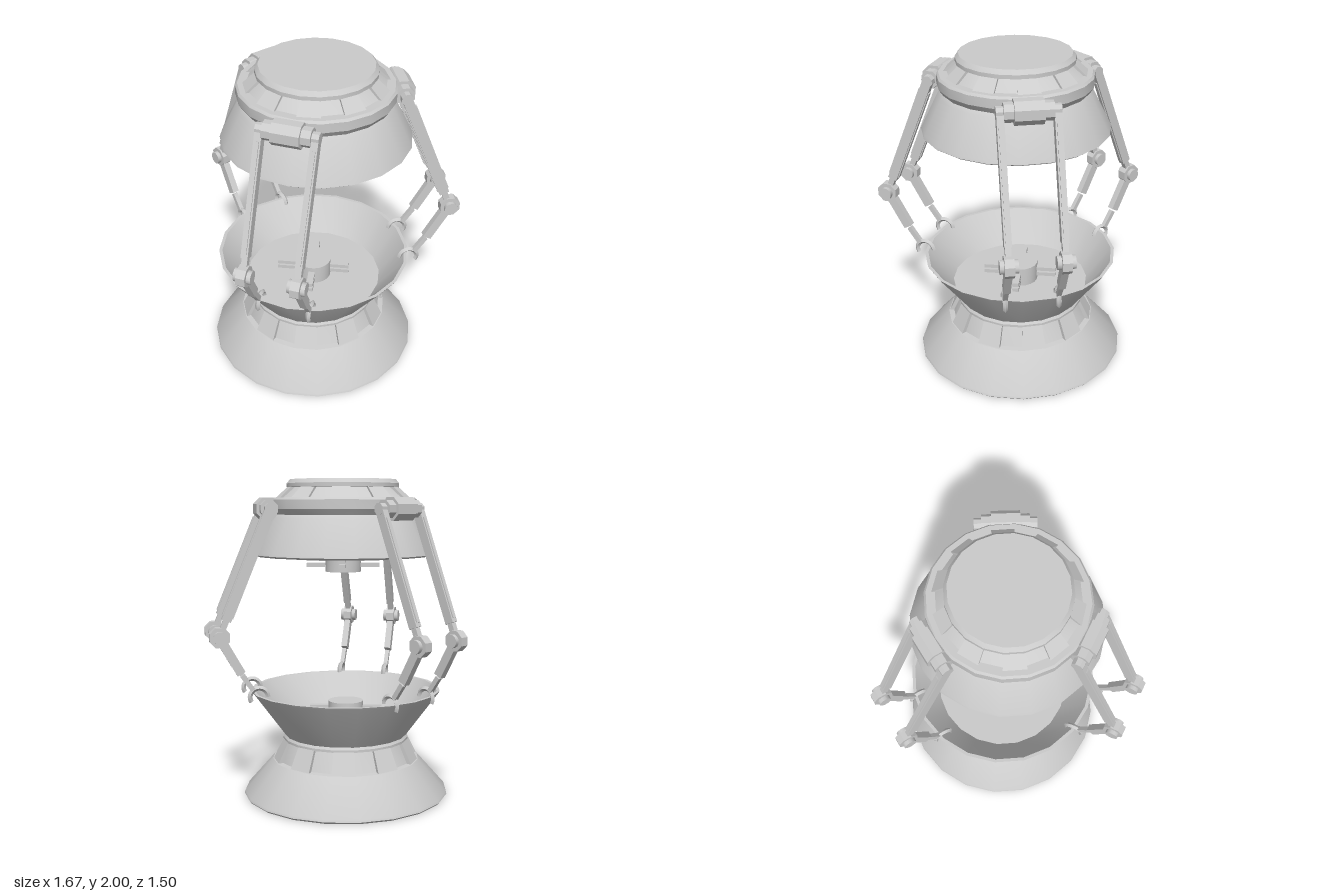
import * as THREE from 'three';
import { toCreasedNormals } from 'three/addons/utils/BufferGeometryUtils.js';

const SIDES = 20;
const grey = new THREE.MeshStandardMaterial({ color: 0xcccccc });

function add(parent, name, geometry, x = 0, y = 0, z = 0) {
  const mesh = new THREE.Mesh(geometry, grey);
  mesh.name = name;
  mesh.position.set(x, y, z);
  parent.add(mesh);
  return mesh;
}

// Turned body; profile is [radius, y] from bottom to top.
function turned(parent, name, profile) {
  const pts = profile.map(([r, y]) => new THREE.Vector2(r, y));
  return add(parent, name, toCreasedNormals(new THREE.LatheGeometry(pts, SIDES), 0.5));
}

// Raised panels on every second facet of a cone; the others read as recessed windows.
function panelRing(parent, name, r0, y0, r1, y1, depth) {
  const ring = new THREE.Group();
  ring.name = name;
  const half = Math.PI / SIDES;
  for (let i = 0; i < SIDES / 2; i++) {
    const g = new THREE.BoxGeometry(1, 1, 1);
    const p = g.attributes.position;
    const mid = half * 3 + i * half * 4;
    for (let k = 0; k < p.count; k++) {
      const top = p.getY(k) > 0;
      const r = (top ? r1 : r0) - (p.getZ(k) > 0 ? 0 : depth);
      const a = mid + p.getX(k) * 2 * half;
      p.setXYZ(k, r * Math.sin(a), top ? y1 : y0, r * Math.cos(a));
    }
    g.computeVertexNormals();
    add(ring, 'panel', g);
  }
  parent.add(ring);
}

// Round hub with four pairs of stacked bars.
function hub(parent, name, y) {
  const g = new THREE.Group();
  g.name = name;
  add(g, 'hubCore', toCreasedNormals(new THREE.CylinderGeometry(0.112, 0.112, 0.12, SIDES), 0.5));
  for (let i = 0; i < 4; i++) {
    const a = Math.PI / 4 + i * Math.PI / 2;
    for (const dy of [-0.018, 0.018]) {
      const bar = add(g, 'hubBar', new THREE.BoxGeometry(0.04, 0.024, 0.16),
        0.15 * Math.sin(a), dy, 0.15 * Math.cos(a));
      bar.rotation.y = a;
    }
  }
  g.position.y = y;
  parent.add(g);
}

// Box running between two [z, y] points, from fraction t0 to t1.
function bar(parent, name, a, b, t0, t1, width, depth, x = 0) {
  const dz = b[0] - a[0], dy = b[1] - a[1], t = (t0 + t1) / 2;
  const geo = new THREE.BoxGeometry(width, Math.hypot(dz, dy) * (t1 - t0), depth);
  const m = add(parent, name, geo, x, a[1] + dy * t, a[0] + dz * t);
  m.rotation.x = Math.atan2(dz, dy);
  return m;
}

// Prism lying along x.
function axle(parent, name, r, length, sides, [z, y]) {
  const g = new THREE.CylinderGeometry(r, r, length, sides).rotateY(Math.PI / sides).rotateZ(Math.PI / 2);
  return add(parent, name, toCreasedNormals(g, 0.6), 0, y, z);
}

const PIVOT = [0.487, 1.82], KNEE = [0.803, 1.056], WRIST = [0.665, 0.81], GRIP = [0.57, 0.68];

function makeArm() {
  const arm = new THREE.Group();
  arm.name = 'arm';
  axle(arm, 'shoulderEnd', 0.036, 0.044, 8, PIVOT);
  bar(arm, 'upperSleeve', PIVOT, KNEE, 0, 0.87, 0.042, 0.058);
  bar(arm, 'sleeveRib', PIVOT, KNEE, 0.08, 0.84, 0.024, 0.072);
  bar(arm, 'upperRod', PIVOT, KNEE, 0.85, 1, 0.034, 0.036);
  axle(arm, 'kneeBlock', 0.065, 0.055, 8, KNEE);
  axle(arm, 'kneeAxle', 0.04, 0.104, 12, KNEE);
  bar(arm, 'lowerSleeve', KNEE, WRIST, 0.1, 0.92, 0.042, 0.055);
  const gripTop = [GRIP[0] + 0.035, GRIP[1] + 0.045];
  bar(arm, 'wristRod', WRIST, gripTop, -0.1, 1, 0.028, 0.03);
  // Half-ring hook that straddles the bowl rim.
  const hook = new THREE.TorusGeometry(0.055, 0.015, 4, 12, Math.PI + 0.55);
  hook.rotateZ(-0.55).rotateY(-Math.PI / 2);
  add(arm, 'claw', toCreasedNormals(hook, 0.6), 0, GRIP[1], GRIP[0]);
  return arm;
}

export function createModel() {
  const model = new THREE.Group();
  model.name = 'capsuleWithArms';

  // Lower half: flared foot, windowed collar and open bowl.
  const lower = new THREE.Group();
  lower.name = 'lowerBody';
  lower.position.set(-0.016, 0, 0.093);
  turned(lower, 'footAndBowl', [
    [0, 0], [0.645, 0], [0.657, 0.012], [0.652, 0.026], [0.47, 0.232], [0.437, 0.237],
    [0.38, 0.36], [0.402, 0.36], [0.402, 0.375], [0.392, 0.39],
    [0.598, 0.67], [0.605, 0.682], [0.585, 0.682], [0.43, 0.48], [0, 0.48],
  ]);
  panelRing(lower, 'collarPanels', 0.465, 0.235, 0.402, 0.362, 0.04);
  hub(lower, 'bowlHub', 0.54);
  model.add(lower);

  // Upper half: flared skirt, band, panelled shoulder and flat lid.
  const upper = new THREE.Group();
  upper.name = 'upperBody';
  upper.position.set(-0.016, 0, 0.113);
  turned(upper, 'skirtAndLid', [
    [0, 1.53], [0.552, 1.53], [0.566, 1.54], [0.56, 1.555], [0.455, 1.765], [0.438, 1.785],
    [0.462, 1.82], [0.462, 1.875], [0.45, 1.888], [0.4, 1.888], [0.325, 1.95],
    [0.352, 1.952], [0.352, 1.975], [0.332, 2], [0, 2],
  ]);
  panelRing(upper, 'shoulderPanels', 0.422, 1.886, 0.347, 1.953, 0.04);
  hub(upper, 'undersideHub', 1.488);
  model.add(upper);

  // Three pairs of jointed arms around the body.
  const angles = { back: Math.PI, left: 1.055, right: -0.995 };
  for (const [side, angle] of Object.entries(angles)) {
    const pair = new THREE.Group();
    pair.name = side + 'ArmPair';
    pair.position.copy(upper.position);
    pair.rotation.y = angle;
    axle(pair, 'mountBlock', 0.074, 0.165, 8, PIVOT);
    axle(pair, 'mountAxle', 0.056, 0.275, 8, PIVOT);
    for (const s of [-1, 1]) {
      const arm = makeArm();
      arm.position.x = s * 0.157;
      pair.add(arm);
    }
    model.add(pair);
  }
  return model;
}
